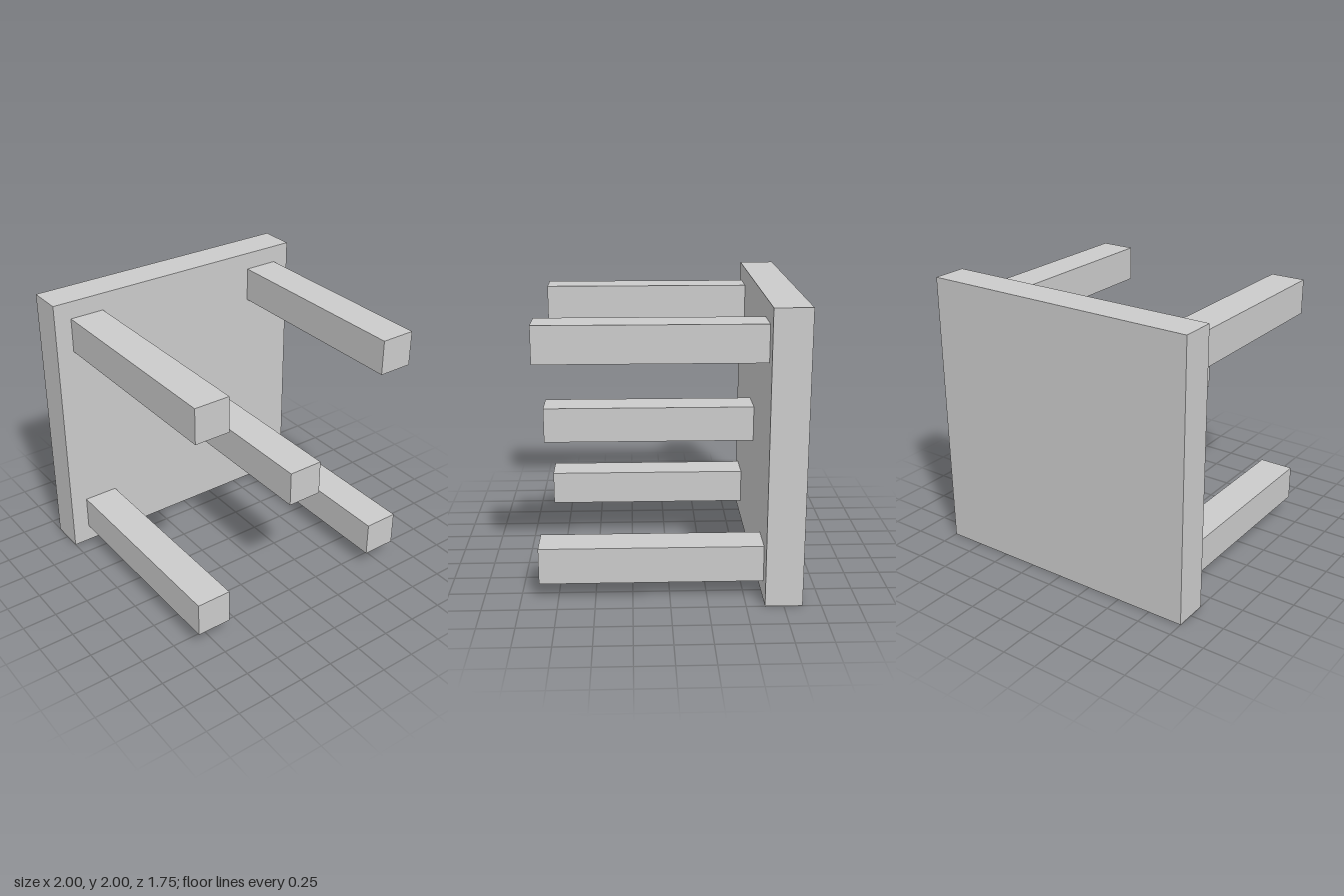
import * as THREE from 'three';

export function createModel() {
  const group = new THREE.Group();
  const material = new THREE.MeshStandardMaterial({ color: 0xcccccc, flatShading: true });

  const addBox = (name, size, position) => {
    const mesh = new THREE.Mesh(new THREE.BoxGeometry(...size), material);
    mesh.name = name;
    mesh.position.set(...position);
    group.add(mesh);
  };

  const thickness = 0.25; // slab depth and post width
  const postLength = 1.5;

  // Upright square slab at the back
  addBox('slab', [2, 2, thickness], [0, 1, -0.75]);

  // Five square posts reaching forward: one in the middle, four near the corners
  const postSize = [thickness, thickness, postLength];
  const postZ = -0.625 + postLength / 2;
  addBox('centerPost', postSize, [0, 1, postZ]);
  for (const [side, x] of [['Left', 0.75], ['Right', -0.75]]) {
    for (const [level, y] of [['upper', 1.75], ['lower', 0.25]]) {
      addBox(`${level}${side}Post`, postSize, [x, y, postZ]);
    }
  }

  return group;
}
